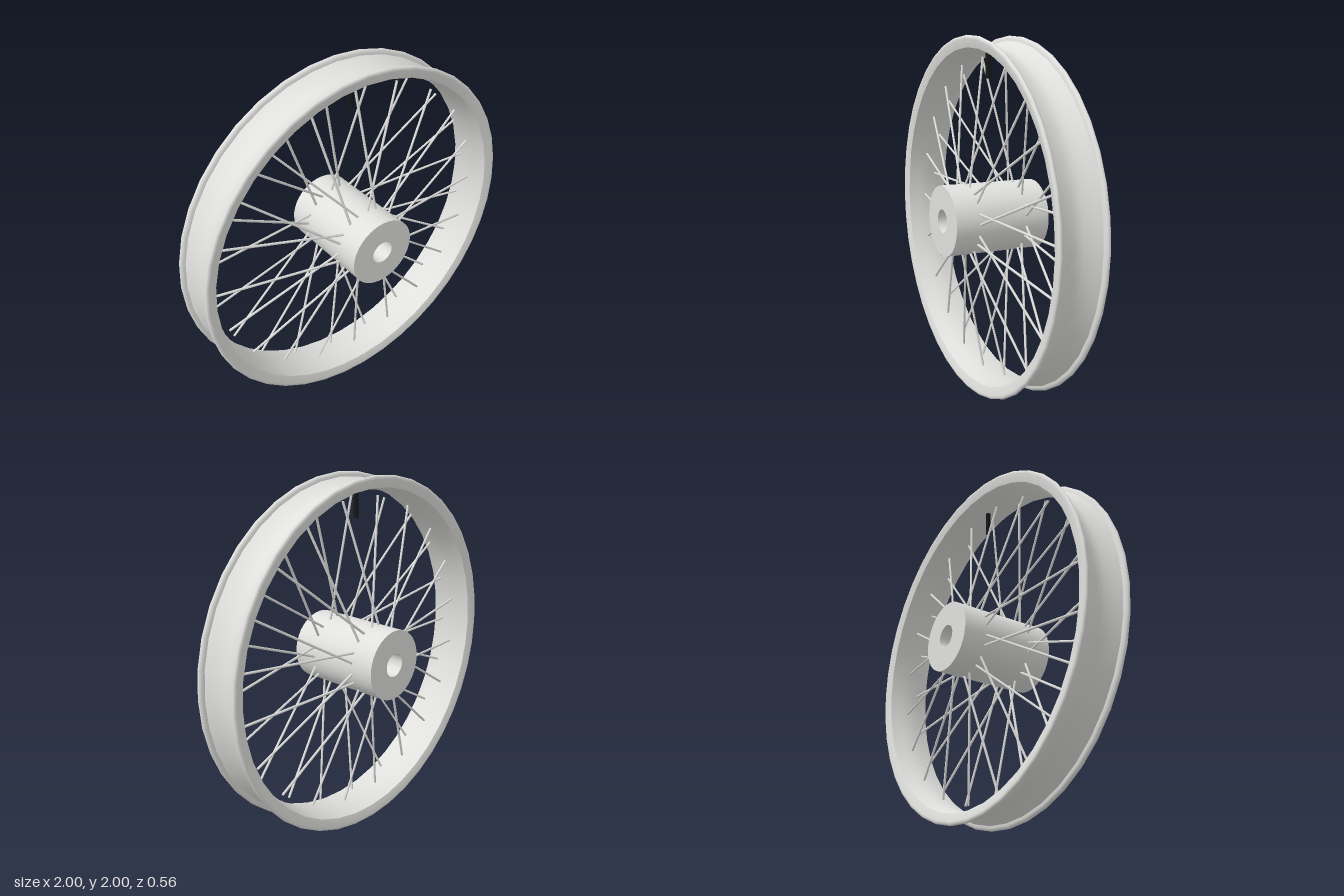
import * as THREE from 'three';
import { toCreasedNormals } from 'three/addons/utils/BufferGeometryUtils.js';

const SPOKES = 40;
const HUB_RADIUS = 0.197;

const material = (name, color) => {
  const m = new THREE.MeshStandardMaterial({ color });
  m.name = name;
  return m;
};

// Turned ring about the z axis from a closed [radius, z] profile
function turned(profile, segments, crease) {
  const points = [...profile, profile[0]].map(([r, z]) => new THREE.Vector2(r, z));
  const geometry = new THREE.LatheGeometry(points, segments).rotateX(Math.PI / 2);
  return toCreasedNormals(geometry, crease);
}

// Thin round bar between two points
function bar(a, b, radius, sides, mat) {
  const along = b.clone().sub(a);
  const mesh = new THREE.Mesh(new THREE.CylinderGeometry(radius, radius, along.length(), sides), mat);
  mesh.position.copy(a).add(b).multiplyScalar(0.5);
  mesh.quaternion.setFromUnitVectors(new THREE.Vector3(0, 1, 0), along.normalize());
  return mesh;
}

const polar = (r, angle, z) => new THREE.Vector3(r * Math.cos(angle), r * Math.sin(angle), z);

export function createModel() {
  const metal = material('metal', 0xe0e0de);
  const black = material('black', 0x161616);
  const wheel = new THREE.Group();
  wheel.name = 'spokedWheel';
  wheel.position.y = 1;

  const add = (name, geometry, mat) => {
    const mesh = new THREE.Mesh(geometry, mat);
    mesh.name = name;
    wheel.add(mesh);
  };

  // Rim: shallow tyre bed outside, gently bulging wall inside, rounded lips
  const bed = [[0.939, 0], [0.942, 0.025], [0.951, 0.058], [0.963, 0.09], [0.973, 0.112]];
  const lip = [[0.985, 0.114], [0.996, 0.119], [1, 0.128], [0.998, 0.135], [0.99, 0.14], [0.98, 0.14], [0.935, 0.126]];
  const wall = [[0.92, 0.06], [0.915, 0]];
  const half = [...bed, ...lip, ...wall];
  const mirrored = half.slice(1, -1).reverse().map(([r, z]) => [r, -z]);
  add('rim', turned([...half, ...mirrored], 40, 0.8), metal);

  // Hub: thick sleeve with an axle bore
  add('hub', turned([[HUB_RADIUS, -0.28], [HUB_RADIUS, 0.28], [0.065, 0.28], [0.065, -0.28]], 40, 0.5), metal);

  // Spokes: alternate between the two ends of the hub and lean in pairs
  const spokes = new THREE.Group();
  spokes.name = 'spokes';
  const step = (Math.PI * 2) / SPOKES;
  for (let i = 0; i < SPOKES; i++) {
    const angle = i * step;
    const lean = (i % 4 < 2 ? 2 : -2) * step;
    const side = i % 2 ? -1 : 1;
    const inner = polar(HUB_RADIUS - 0.007, angle + lean, side * 0.142);
    const outer = polar(0.885, angle, side * 0.033);
    const spoke = bar(inner, outer, 0.007, 6, metal);
    spoke.name = 'spoke';
    spokes.add(spoke);
  }
  wheel.add(spokes);

  // Valve stem at the top of the rim
  const valve = bar(new THREE.Vector3(0, 0.77, 0), new THREE.Vector3(0, 0.925, 0), 0.014, 12, black);
  valve.name = 'valve';
  wheel.add(valve);

  const model = new THREE.Group();
  model.name = 'wheel';
  model.add(wheel);
  return model;
}
